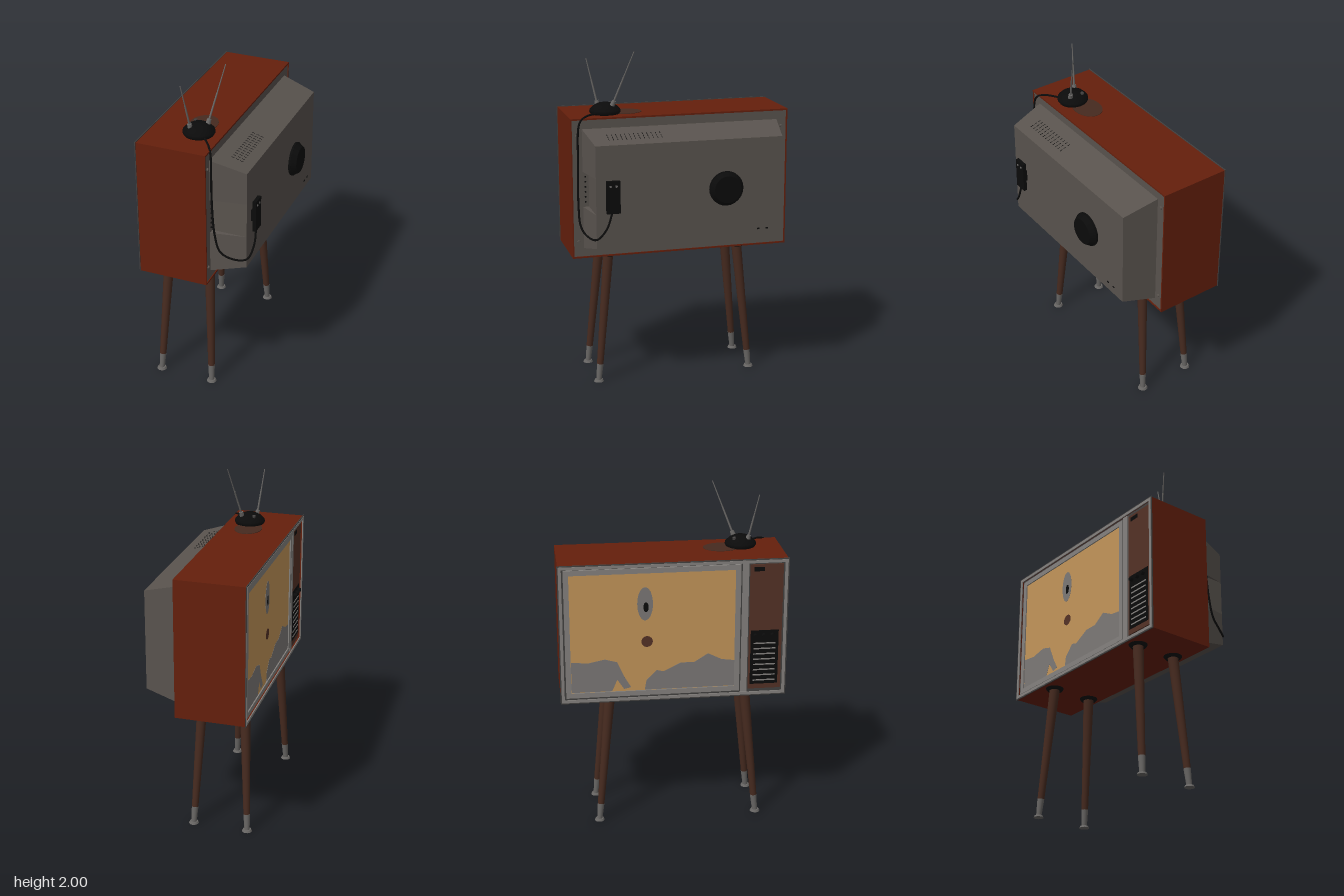
import * as THREE from 'three';

const mat = (name, color) => {
  const m = new THREE.MeshStandardMaterial({ color });
  m.name = name;
  return m;
};

export function createModel() {
  const M = {
    cabinet: mat('red brown cabinet', 0x651f0c),
    grey: mat('warm grey plastic', 0x59534e),
    trim: mat('light grey trim', 0x85827f),
    screenGrey: mat('screen grey', 0x7d7977),
    darkGrey: mat('dark grey', 0x434140),
    wood: mat('dark leg wood', 0x462a1f),
    black: mat('black plastic', 0x0b0b0b),
    tan: mat('tan screen', 0xc4965a),
    panel: mat('brown panel', 0x553226),
    metal: mat('metal', 0x686664),
  };
  const root = new THREE.Group();
  const add = (name, geo, material) => {
    const m = new THREE.Mesh(geo, material);
    m.name = name;
    root.add(m);
    return m;
  };
  // Box given by its limits on each axis
  const box = (name, x0, x1, y0, y1, z0, z1, material) => {
    const m = add(name, new THREE.BoxGeometry(x1 - x0, y1 - y0, z1 - z0), material);
    m.position.set((x0 + x1) / 2, (y0 + y1) / 2, (z0 + z1) / 2);
    return m;
  };
  // Tapered round bar between two points
  const bar = (name, a, b, ra, rb, material, sides = 16) => {
    const p = new THREE.Vector3(...a), q = new THREE.Vector3(...b), d = q.clone().sub(p);
    const m = add(name, new THREE.CylinderGeometry(rb, ra, d.length(), sides), material);
    m.position.copy(p).addScaledVector(d, 0.5);
    m.quaternion.setFromUnitVectors(new THREE.Vector3(0, 1, 0), d.normalize());
    return m;
  };
  const polygon = (pts, Type = THREE.Shape) => new Type(pts.map(p => new THREE.Vector2(...p)));
  const rect = (z0, z1, y0, y1, Type) => polygon([[z0, y0], [z1, y0], [z1, y1], [z0, y1]], Type);
  const ellipse = (z, y, rz, ry) => new THREE.Shape().absellipse(z, y, rz, ry, 0, Math.PI * 2);
  // Shape drawn in (z, y), extruded from x towards -x
  const facing = (name, shape, x, depth, material) => {
    const g = new THREE.ExtrudeGeometry(shape, { depth, bevelEnabled: false, curveSegments: 20 });
    g.rotateY(-Math.PI / 2);
    add(name, g, material).position.x = x;
  };
  const frame = (name, o, i, x, depth, material) => {
    const s = rect(...o);
    s.holes.push(rect(...i, THREE.Path));
    facing(name, s, x, depth, material);
  };

  // Cabinet shell
  box('cabinetTop', -0.324, 0.09, 1.622, 1.632, -0.657, 0.657, M.cabinet);
  box('cabinetBottom', -0.324, 0.09, 0.8, 0.81, -0.657, 0.657, M.cabinet);
  for (const z of [-0.653, 0.653])
    box('cabinetSide', -0.324, 0.09, 0.8, 1.632, z - 0.004, z + 0.004, M.cabinet);
  box('backPanel', 0.06, 0.085, 0.808, 1.624, -0.65, 0.65, M.grey);

  // Front surround, screen bezel and divider
  frame('frontEdge', [-0.661, 0.661, 0.796, 1.636], [-0.64, 0.64, 0.817, 1.615], -0.323, 0.005, M.darkGrey);
  frame('frontRim', [-0.654, 0.654, 0.803, 1.629], [-0.637, 0.637, 0.82, 1.612], -0.324, 0.006, M.trim);
  box('frontPanel', -0.31, -0.295, 0.81, 1.622, -0.649, 0.649, M.darkGrey);
  frame('screenBezel', [-0.627, 0.385, 0.828, 1.604], [-0.597, 0.355, 0.858, 1.574], -0.31, 0.012, M.trim);
  box('divider', -0.322, -0.31, 0.82, 1.612, 0.394, 0.43, M.trim);
  box('screen', -0.315, -0.31, 0.856, 1.576, -0.599, 0.357, M.tan);

  // Flat patches on the screen
  facing('screenPatchLeft', polygon([[-0.595, 0.86], [-0.36, 0.86], [-0.33, 0.93], [-0.29, 0.87], [-0.25, 0.88],
    [-0.29, 0.95], [-0.33, 1.04], [-0.4, 1.06], [-0.5, 1.04], [-0.595, 1.05]]), -0.315, 0.001, M.screenGrey);
  facing('screenPatchRight', polygon([[-0.17, 0.86], [0.355, 0.86], [0.355, 1.02], [0.28, 1.03],
    [0.2, 1.07], [0.12, 1.02], [0.04, 1.02], [-0.06, 0.97], [-0.1, 0.98], [-0.16, 0.92]]), -0.315, 0.001, M.screenGrey);
  facing('screenSpot', ellipse(-0.165, 1.39, 0.045, 0.1), -0.315, 0.001, M.screenGrey);
  facing('screenSpotCore', ellipse(-0.16, 1.37, 0.015, 0.03), -0.316, 0.001, M.black);
  facing('screenDot', ellipse(-0.155, 1.16, 0.033, 0.033), -0.315, 0.001, M.panel);

  // Control panel with knobs and speaker grille
  box('controlPanel', -0.318, -0.31, 0.835, 1.6, 0.438, 0.63, M.panel);
  box('channelWindow', -0.32, -0.318, 1.56, 1.585, 0.46, 0.52, M.black);
  box('grilleBack', -0.32, -0.318, 0.865, 1.2, 0.448, 0.612, M.black);
  for (let i = 0; i < 8; i++)
    box('grilleBar', -0.322, -0.32, 0.885 + i * 0.033, 0.893 + i * 0.033, 0.465, 0.595, M.trim);
  for (const z of [0.475, 0.525, 0.575])
    bar('knob', [-0.31, 1.17, z], [-0.34, 1.17, z], 0.013, 0.011, M.black);

  // Rear housing: tapered box with a pocket in its left side
  const P = [], quad = (a, b, c, d) => P.push(...a, ...b, ...c, ...a, ...c, ...d);
  const X = 0.085, E = 0.292, Z = 0.59, z1 = 0.555, lo = 0.86, hi = 1.57, l1 = 0.91, h1 = 1.51;
  const n0 = 1.11, n1 = 1.32;
  quad([E, l1, z1], [E, l1, -z1], [E, h1, -z1], [E, h1, z1]);
  quad([X, hi, Z], [E, h1, z1], [E, h1, -z1], [X, hi, -Z]);
  quad([X, lo, -Z], [E, l1, -z1], [E, l1, z1], [X, lo, Z]);
  quad([E, l1, -z1], [X, lo, -Z], [X, hi, -Z], [E, h1, -z1]);
  quad([X, lo, Z], [E, l1, z1], [E, n0, z1], [X, n0, Z]);
  quad([X, n1, Z], [E, n1, z1], [E, h1, z1], [X, hi, Z]);
  quad([X, n0, z1], [E, n0, z1], [E, n1, z1], [X, n1, z1]);
  P.push(X, n0, Z, E, n0, z1, X, n0, z1, X, n1, Z, X, n1, z1, E, n1, z1);
  const housing = new THREE.BufferGeometry();
  housing.setAttribute('position', new THREE.Float32BufferAttribute(P, 3));
  housing.computeVertexNormals();
  add('rearHousing', housing, M.grey);

  // Vent slots lying almost flush on the sloped housing top
  for (let i = 0; i < 13; i++) for (const x of [0.172, 0.198, 0.224]) {
    const y = hi - (x - X) * (hi - h1) / (E - X), z = 0.15 + i * 0.026;
    const slot = box('ventSlot', x - 0.009, x + 0.009, y - 0.001, y + 0.001, z - 0.0015, z + 0.0015, M.black);
    slot.rotation.z = -Math.atan2(hi - h1, E - X);
  }

  // Rear dial, jacks, terminals and screws
  bar('rearDialRim', [0.29, 1.22, -0.215], [0.305, 1.22, -0.215], 0.102, 0.102, M.black, 24);
  bar('rearDial', [0.305, 1.22, -0.215], [0.335, 1.22, -0.215], 0.1, 0.08, M.black, 24);
  for (const z of [-0.415, -0.47]) box('rearJack', 0.29, 0.296, 0.958, 0.966, z - 0.007, z + 0.007, M.black);
  for (let i = 0; i < 6; i++)
    bar('terminal', [0.083, 1.14 + i * 0.03, 0.575], [0.092, 1.14 + i * 0.03, 0.575], 0.005, 0.005, M.black, 8);
  for (const z of [-0.62, 0.62]) for (const y of [0.9, 1.53])
    bar('backScrew', [0.083, y, z], [0.094, y, z], 0.01, 0.008, M.grey, 10);

  // Antenna connector box and cable
  box('connectorMount', 0.29, 0.304, 1.18, 1.25, 0.43, 0.49, M.black);
  box('connectorBox', 0.304, 0.325, 1.12, 1.31, 0.42, 0.5, M.black);
  for (const z of [0.443, 0.477])
    bar('connectorScrew', [0.324, 1.28, z], [0.328, 1.28, z], 0.007, 0.007, M.metal, 10);
  const path = new THREE.CatmullRomCurve3([[0.01, 1.642, 0.48], [0.07, 1.64, 0.56], [0.1, 1.61, 0.605],
    [0.11, 1.35, 0.62], [0.13, 1.12, 0.626], [0.16, 1.02, 0.622], [0.225, 0.975, 0.6],
    [0.295, 0.965, 0.555], [0.315, 1.03, 0.5], [0.314, 1.13, 0.465]].map(p => new THREE.Vector3(...p)));
  add('antennaCable', new THREE.TubeGeometry(path, 60, 0.006, 8), M.black);

  // Antenna base and two rods
  const profile = [[0, 0], [0.085, 0], [0.092, 0.012], [0.09, 0.025], [0.07, 0.045], [0.045, 0.06], [0, 0.066]];
  const base = add('antennaBase', new THREE.LatheGeometry(profile.map(p => new THREE.Vector2(...p)), 24), M.black);
  base.position.set(-0.045, 1.632, 0.425);
  bar('antennaKnob', [-0.08, 1.67, 0.385], [-0.083, 1.693, 0.38], 0.012, 0.01, M.darkGrey, 12);
  const rods = [[[-0.08, 1.67, 0.46], [-0.11, 1.95, 0.52]], [[-0.008, 1.67, 0.395], [0.052, 2, 0.27]]];
  for (const [a, b] of rods) {
    const at = t => a.map((v, i) => v + (b[i] - v) * t);
    bar('rodSocket', a, at(0.12), 0.017, 0.012, M.metal, 12);
    bar('antennaRodLower', at(0.1), at(0.55), 0.006, 0.005, M.metal, 8);
    bar('antennaRodUpper', at(0.55), b, 0.004, 0.003, M.metal, 8);
  }
  const patch = add('topPatch', new THREE.CylinderGeometry(0.082, 0.082, 0.004, 28), M.wood);
  patch.scale.z = 1.3;
  patch.position.set(-0.068, 1.6325, 0.308);

  // Splayed legs with mounting plates, ferrules and feet
  for (const [xt, xb] of [[-0.243, -0.282], [0.013, 0.05]])
    for (const [zt, zb] of [[0.43, 0.507], [-0.37, -0.447]]) {
      const at = y => [xb + (xt - xb) * y / 0.8, y, zb + (zt - zb) * y / 0.8];
      bar('legPlate', [xt, 0.787, zt], [xt, 0.801, zt], 0.045, 0.055, M.black, 20);
      bar('leg', at(0.11), at(0.79), 0.02, 0.031, M.wood);
      bar('legFerrule', at(0.01), at(0.11), 0.016, 0.0205, M.metal);
      bar('foot', [xb, 0, zb], [xb, 0.012, zb], 0.03, 0.024, M.metal, 20);
    }
  return root;
}
